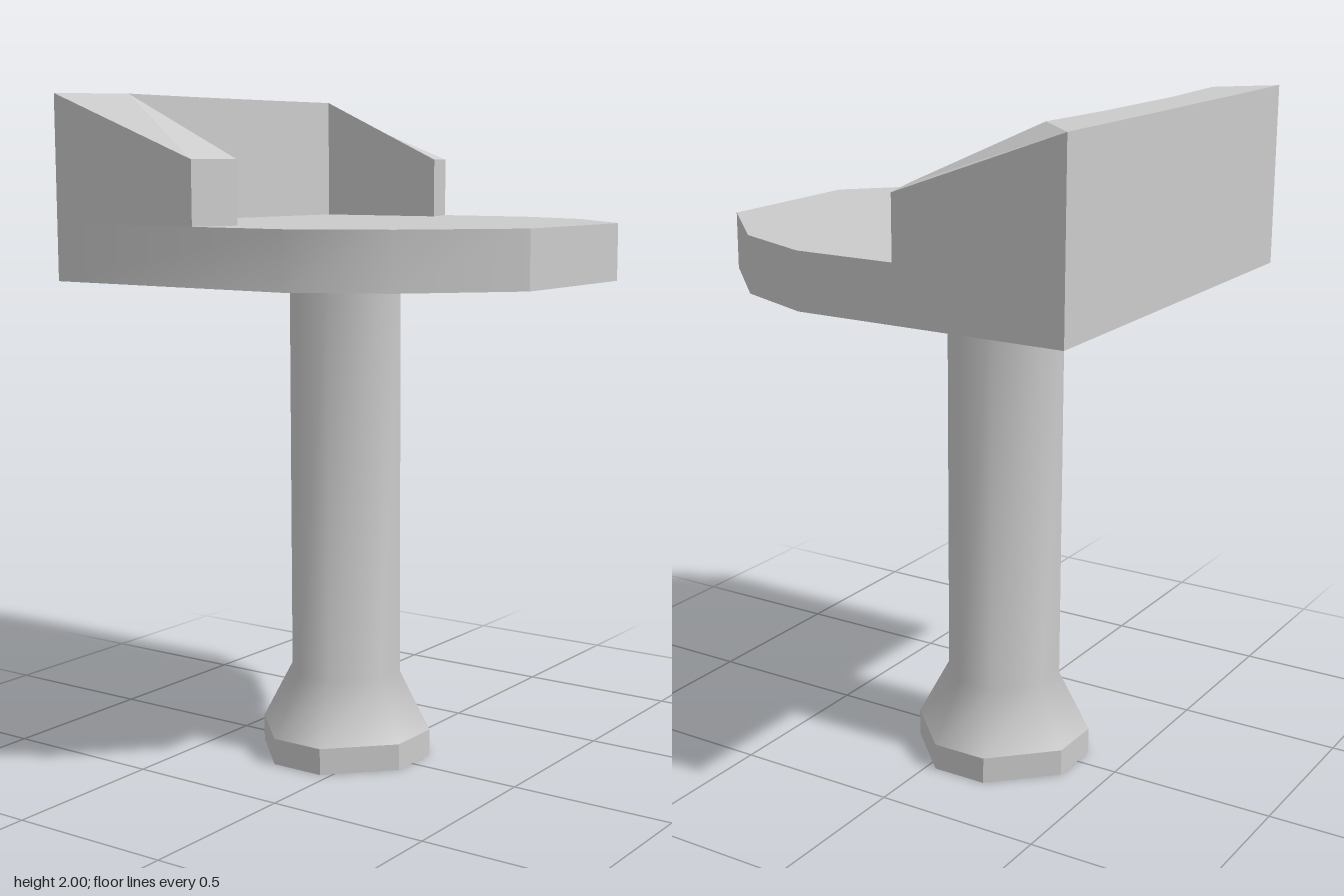
import * as THREE from 'three';
import { toCreasedNormals } from 'three/addons/utils/BufferGeometryUtils.js';

// Skin a series of equal-sized rings (counter-clockwise seen from the travel direction)
function loft(rings, capped = true) {
  const n = rings[0].length;
  const last = (rings.length - 1) * n;
  const index = [];
  for (let r = 0; r < rings.length - 1; r++) {
    for (let i = 0; i < n; i++) {
      const a = r * n + i, b = r * n + (i + 1) % n;
      index.push(a, b, b + n, a, b + n, a + n);
    }
  }
  if (capped) {
    for (let i = 1; i < n - 1; i++) {
      index.push(0, i + 1, i, last, last + i, last + i + 1);
    }
  }
  const geometry = new THREE.BufferGeometry();
  geometry.setAttribute('position', new THREE.Float32BufferAttribute(rings.flat(2), 3));
  geometry.setIndex(index);
  geometry.computeVertexNormals();
  return geometry;
}

// Chamfered-square ring around the pedestal axis
function octagon(h, y) {
  const c = h / 3;
  return [[h, c], [c, h], [-c, h], [-h, c], [-h, -c], [-c, -h], [c, -h], [h, -c]]
    .map(([x, z]) => [x - 0.115, y, -z - 0.015]);
}

export function createModel() {
  const model = new THREE.Group();
  const add = (name, geometry, flatShading = false) => {
    const mesh = new THREE.Mesh(geometry, new THREE.MeshStandardMaterial({ color: 0xcccccc, flatShading }));
    mesh.name = name;
    model.add(mesh);
  };

  // Pedestal: faceted foot, smooth flare and shaft
  add('foot', loft([octagon(0.255, 0), octagon(0.255, 0.08)]), true);
  add('shaft', loft([octagon(0.255, 0.08), octagon(0.165, 0.26), octagon(0.165, 1.48)], false));

  // Seat slab: straight at the back, rounded at the other end
  const outline = [
    [-0.655, 0.64], [0.15, 0.64], [0.41, 0.505], [0.66, 0.235],
    [0.66, -0.275], [0.4, -0.54], [0.15, -0.645], [-0.66, -0.64],
  ];
  const slab = loft([1.47, 1.635].map(y => outline.map(([x, z]) => [x, y, z])));
  add('seat', toCreasedNormals(slab, THREE.MathUtils.degToRad(35)));

  // Backrest with sloping arms: outer x, outer z, inner x, inner z, top height
  const stations = [
    [-0.155, -0.644, -0.11, -0.505, 1.815],
    [-0.66, -0.64, -0.515, -0.49, 2],
    [-0.66, -0.2, -0.53, -0.2, 2],
    [-0.657, 0.18, -0.53, 0.18, 2],
    [-0.655, 0.64, -0.51, 0.49, 2],
    [-0.155, 0.64, -0.11, 0.5, 1.815],
  ];
  add('backrest', loft(stations.map(([ox, oz, ix, iz, top]) => [
    [ox, 1.635, oz], [ix, 1.635, iz], [ix, top, iz], [ox, top, oz],
  ])), true);

  return model;
}
